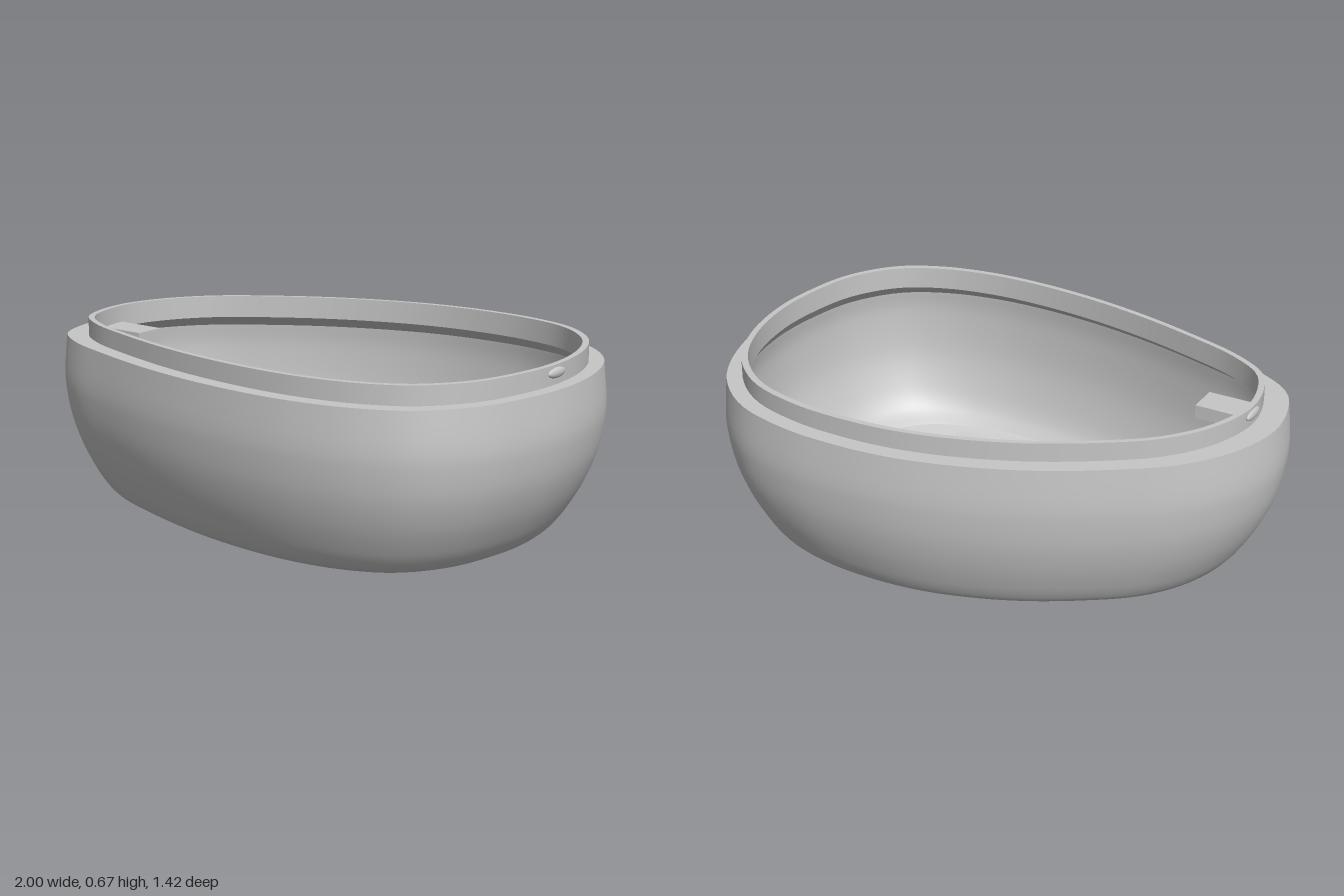
import * as THREE from 'three';

// Egg-shaped plan outline, as x, z pairs
const EGG = [
  -1, .1, -.945, -.09, -.82, -.268, -.625, -.418, -.41, -.545, -.18, -.64, .03, -.695, .24, -.715, .47, -.702,
  .69, -.635, .858, -.487, .957, -.28, .998, -.04, .985, .16, .93, .375, .803, .553, .635, .647, .435, .695,
  .24, .707, -.02, .69, -.29, .643, -.565, .567, -.785, .487, -.925, .39, -.983, .26,
];
const N = 120;
const eggPoints = [];
for (let i = 0; i < EGG.length; i += 2) eggPoints.push(new THREE.Vector3(EGG[i], 0, EGG[i + 1]));
const egg = new THREE.CatmullRomCurve3(eggPoints, true).getSpacedPoints(N).slice(0, N);

// Skin a stack of scaled egg rings, each [scaleX, scaleZ, shiftX, y]
function skin(rings) {
  const pos = [], index = [];
  for (const [sx, sz, dx, y] of rings) for (const p of egg) pos.push(p.x * sx + dx, y, p.z * sz);
  for (let r = 0; r < rings.length - 1; r++) {
    for (let i = 0; i < N; i++) {
      const a = r * N + i, b = r * N + (i + 1) % N;
      index.push(a, a + N, b, b, a + N, b + N);
    }
  }
  const g = new THREE.BufferGeometry();
  g.setAttribute('position', new THREE.Float32BufferAttribute(pos, 3));
  g.setIndex(index);
  g.computeVertexNormals();
  return g;
}

// Smooth wall from a few [scale, y] points
function smoothWall(points, steps) {
  const curve = new THREE.SplineCurve(points.map(([s, y]) => new THREE.Vector2(s, y)));
  return skin(curve.getPoints(steps).map((p) => [p.x, p.x, 0, p.y]));
}

const shapeOf = (pts) => new THREE.Shape(pts.map(([x, y]) => new THREE.Vector2(x, y)));
const extrude = (shape, depth) => new THREE.ExtrudeGeometry(shape, { depth, bevelEnabled: false });

// Rounded end of a finger slot beside the compartment
function slotOutline(reach, half, r) {
  const pts = [[.395, -half]];
  for (const side of [-1, 1]) {
    for (let k = 0; k <= 6; k++) {
      const a = (side < 0 ? k / 6 - 1 : k / 6) * Math.PI / 2;
      pts.push([reach - r + Math.cos(a) * r, side * (half - r) + Math.sin(a) * r]);
    }
  }
  pts.push([.395, half]);
  return pts;
}

// Egg-shaped floor with the compartment opening cut out; its outer edge is
// shaded to run smoothly into the wall. facing is -1 for down, 1 for up.
function floorPlate(scale, edgeY, openingY, facing) {
  const shape = shapeOf(egg.map((p) => [p.x * scale, p.z * scale]));
  const slot = slotOutline(.455, .215, .04);
  const hole = [[.395, -.355], ...slot, [.395, .355], [-.395, .355],
    ...slot.map(([x, z]) => [-x, -z]), [-.395, -.355]];
  shape.holes.push(new THREE.Path(hole.map(([x, z]) => new THREE.Vector2(x, z))));
  const g = new THREE.ShapeGeometry(shape);
  g.rotateX(Math.PI / 2);
  if (facing > 0) g.index.array.reverse();
  const { position, normal } = g.attributes;
  const n = new THREE.Vector3();
  for (let i = 0; i < position.count; i++) {
    const onEdge = i < N;
    n.set(position.getX(i), 0, position.getZ(i)).setLength(onEdge ? -.45 * facing : 0);
    n.setY(facing).normalize();
    normal.setXYZ(i, n.x, n.y, n.z);
    position.setY(i, onEdge ? edgeY : openingY);
  }
  return g;
}

export function createModel() {
  const model = new THREE.Group();
  model.name = 'eggShapedBase';
  const grey = new THREE.MeshStandardMaterial({ color: 0xc6c6c6, side: THREE.DoubleSide });
  grey.name = 'plainGrey';
  const add = (name, geometry, parent = model) => {
    const mesh = new THREE.Mesh(geometry, grey);
    mesh.name = name;
    parent.add(mesh);
    return mesh;
  };

  // Bowl and its stepped rim
  const rim = [.988, .988, 0, .605];
  const lipOuter = [.921, .906, .018, .605], lipInner = [.9, .876, .018, .672];
  const at = (ring, y) => [ring[0], ring[1], ring[2], y];
  add('outerWall', smoothWall([[.785, .012], [.82, .028], [.852, .058], [.89, .11], [.94, .2], [.978, .3],
    [.997, .4], [1, .48], [.988, .605]], 48));
  add('rimLedge', skin([rim, lipOuter]));
  add('lipOuterWall', skin([lipOuter, at(lipOuter, .672)]));
  add('lipTop', skin([at(lipOuter, .672), lipInner]));
  add('lipInnerWall', skin([lipInner, at(lipInner, .59)]));
  add('lipUnderside', skin([at(lipInner, .59), [.945, .945, 0, .55]]));
  add('cavityWall', smoothWall([[.945, .55], [.952, .46], [.935, .3], [.89, .17], [.84, .09], [.775, .044]], 36));
  add('underside', floorPlate(.785, .012, 0, -1));
  add('cavityFloor', floorPlate(.775, .044, .03, 1));

  // Compartment pressed up into the floor, with sloping front and back
  const arch = [[-.372, 0], [-.355, .03], [-.215, .125], [-.195, .135], [.195, .135], [.215, .125], [.355, .03], [.37, 0]];
  const inner = arch.map(([z, y]) => [z * .97, Math.max(0, y - .01)]).reverse();
  const roof = extrude(shapeOf([...arch, ...inner]), .8);
  roof.rotateY(-Math.PI / 2).translate(.4, 0, 0);
  add('compartmentRoof', roof);
  const notch = [[.215, 0], [.215, .055], [-.215, .055], [-.215, 0]];
  for (const side of [-1, 1]) {
    const end = extrude(shapeOf([...arch, ...notch]), .01);
    end.rotateY(-Math.PI / 2).translate(side * .4 + .005, 0, 0);
    add('compartmentEnd', end);

    // Finger slot
    const slot = new THREE.Group();
    slot.name = 'fingerSlot';
    slot.rotation.y = side < 0 ? Math.PI : 0;
    model.add(slot);
    const out = slotOutline(.463, .223, .048), back = slotOutline(.453, .213, .038).reverse();
    const lay = (shape, height) => extrude(shape, height).rotateX(Math.PI / 2).translate(0, .06, 0);
    add('slotWall', lay(shapeOf([...out, ...back]), .058), slot);
    add('slotRoof', lay(shapeOf(out), .006), slot);
  }

  // Snap bumps on the lip
  for (const [x, z] of [[-.903, .11], [.938, -.025]]) {
    const bump = add('snapBump', new THREE.SphereGeometry(1, 24, 12));
    bump.scale.set(.012, .018, .05);
    bump.position.set(x, .645, z);
  }

  // Small block inside the narrow end
  const block = add('innerBlock', new THREE.BoxGeometry(.197, .05, .115));
  block.position.set(-.783, .585, .188);

  return model;
}
